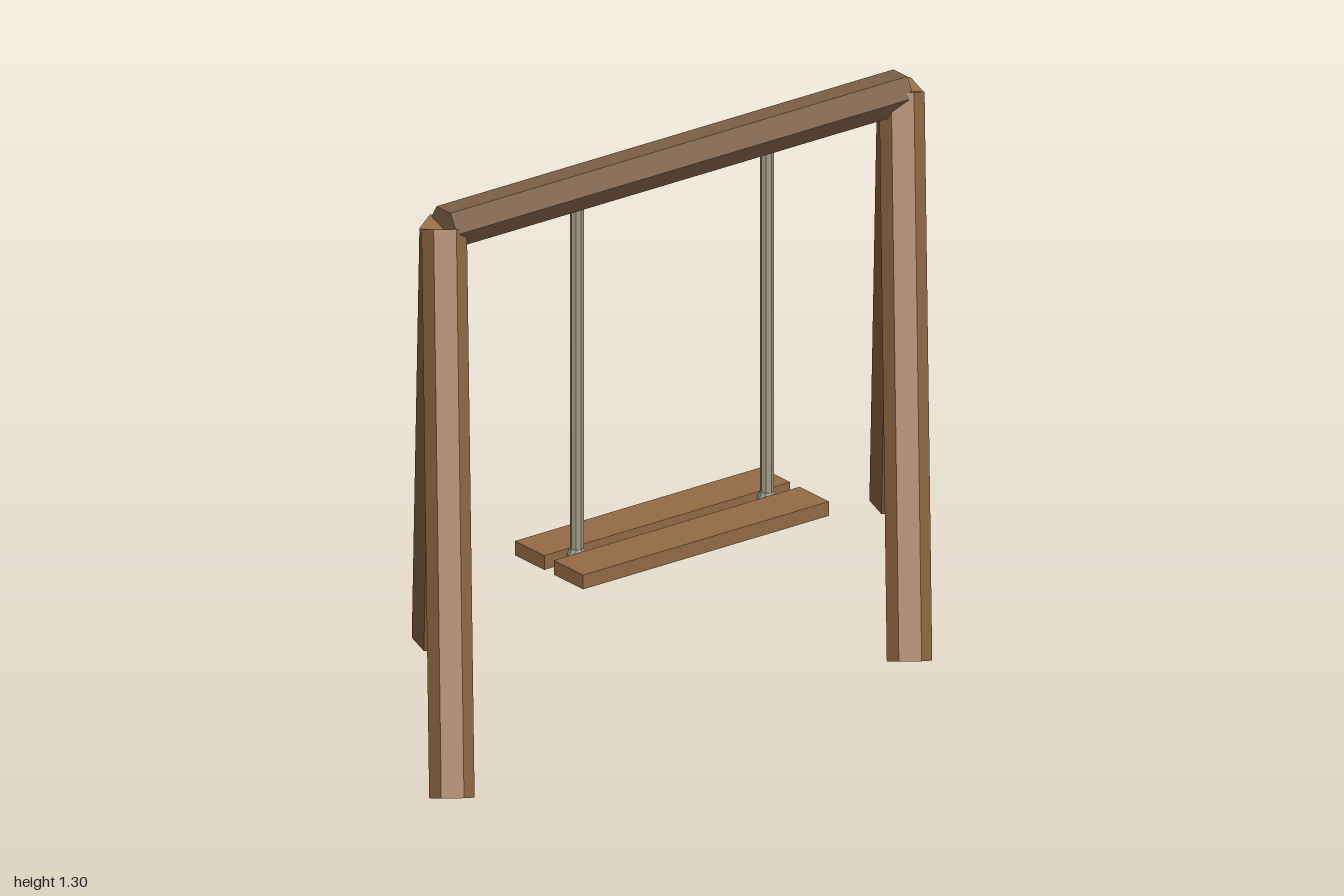
import * as THREE from 'three';

const mat = (color) => new THREE.MeshStandardMaterial({ color, flatShading: true });
const V = (x, y, z) => new THREE.Vector3(x, y, z);

export function createModel() {
  const model = new THREE.Group();
  const wood = mat(0x966b46), beamWood = mat(0x7d6047), ropeMat = mat(0xa39b85), knotMat = mat(0x9c9a94);

  const add = (name, geometry, material, parent = model) => {
    const mesh = new THREE.Mesh(geometry, material);
    mesh.name = name;
    parent.add(mesh);
    return mesh;
  };

  // Six-sided post from a to b, with a pair of its corners along side
  const post = (name, a, b, side, material, parent) => {
    const axis = b.clone().sub(a);
    const geometry = new THREE.CylinderGeometry(0.053, 0.053, axis.length(), 6);
    axis.normalize();
    const cross = axis.clone().cross(side).normalize();
    const corner = cross.clone().cross(axis);
    geometry.applyMatrix4(new THREE.Matrix4().makeBasis(cross, axis, corner));
    add(name, geometry, material, parent).position.copy(a).lerp(b, 0.5);
  };

  // Two A-frames, both slanted the same way across the beam
  for (const s of [-1, 1]) {
    const frame = new THREE.Group();
    frame.name = s < 0 ? 'rightFrame' : 'leftFrame';
    model.add(frame);
    for (const f of [-1, 1]) {
      const foot = V(s * 0.674 - f * 0.28, 0.017, f * 0.395);
      const top = V(s * 0.674, 1.253, f * 0.004);
      post(f > 0 ? 'frontLeg' : 'backLeg', foot, top, V(0.395, 0, 0.28).normalize(), wood, frame);
    }
  }

  // Crossbeam
  post('beam', V(-0.673, 1.254, 0), V(0.673, 1.254, 0), V(0, 0, 1), beamWood, model);

  // Seat of two planks
  for (const f of [-1, 1]) {
    add(f > 0 ? 'frontPlank' : 'backPlank', new THREE.BoxGeometry(0.724, 0.036, 0.112), wood)
      .position.set(0, 0.322, f * 0.074);
  }

  // Ropes with knots between the planks
  for (const s of [-1, 1]) {
    add('rope', new THREE.CylinderGeometry(0.016, 0.016, 0.92, 8), ropeMat).position.set(s * 0.28, 0.79, 0);
    add('knot', new THREE.SphereGeometry(0.024, 8, 4), knotMat).position.set(s * 0.28, 0.328, 0);
  }
  return model;
}
